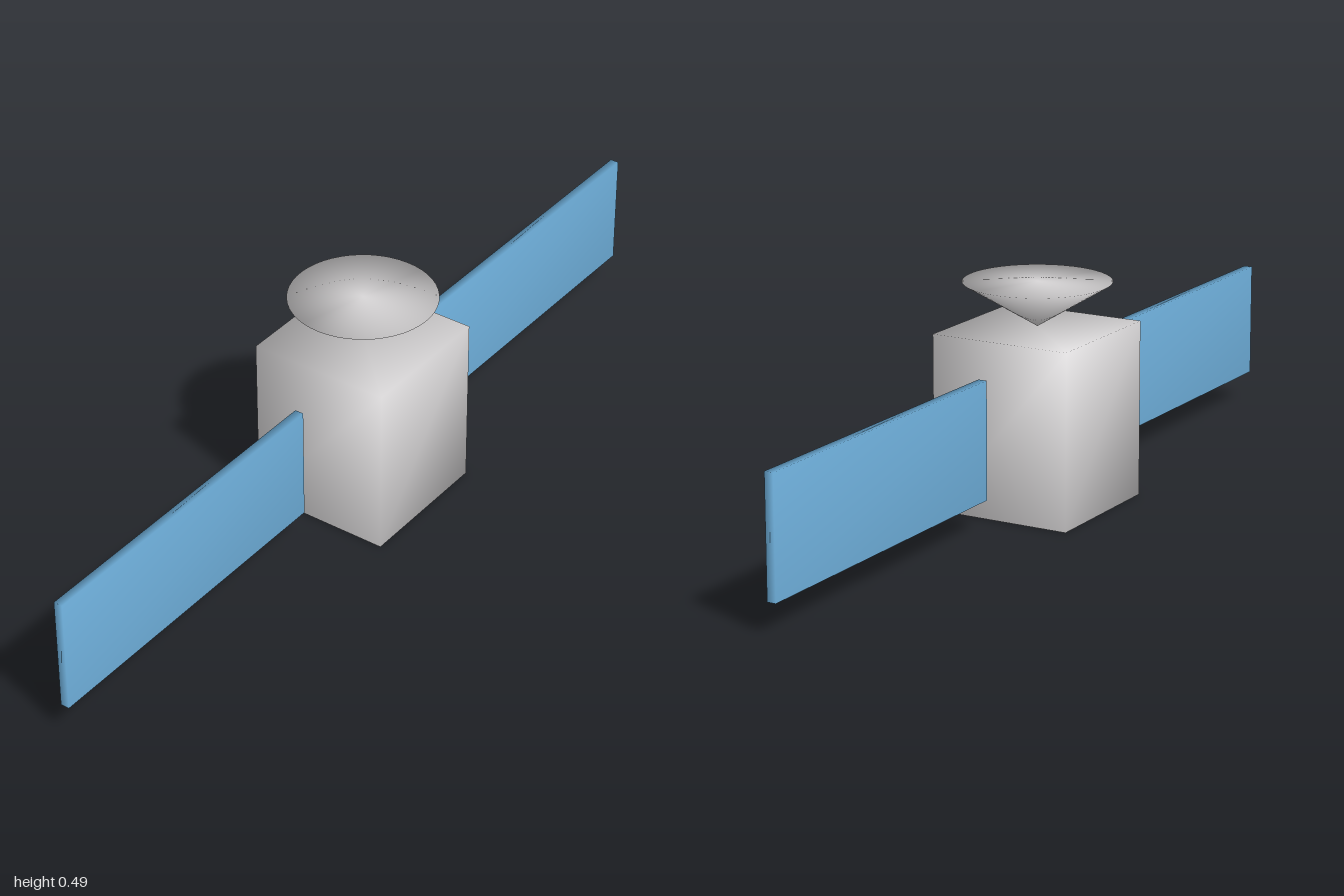
import * as THREE from 'three';
import { mergeVertices } from 'three/addons/utils/BufferGeometryUtils.js';

// Weld all corners so that shading runs smoothly over the edges
function weld(geometry) {
  geometry.deleteAttribute('normal');
  geometry.deleteAttribute('uv');
  const welded = mergeVertices(geometry, 1e-4);
  welded.computeVertexNormals();
  return welded;
}

export function createModel() {
  const group = new THREE.Group();
  const hullGrey = new THREE.MeshStandardMaterial({ color: 0xd9d7d8 });
  hullGrey.name = 'hullGrey';
  const panelBlue = new THREE.MeshStandardMaterial({ color: 0x6fb0dc });
  panelBlue.name = 'panelBlue';

  const add = (name, geometry, material, x, y) => {
    const mesh = new THREE.Mesh(weld(geometry), material);
    mesh.name = name;
    mesh.position.set(x, y, 0);
    group.add(mesh);
  };

  // Central body
  add('body', new THREE.BoxGeometry(0.322, 0.387, 0.322), hullGrey, 0, 0.1935);

  // Solar panels, floating clear of the body on both sides
  for (const [name, side] of [['leftPanel', 1], ['rightPanel', -1]]) {
    add(name, new THREE.BoxGeometry(0.774, 0.258, 0.02), panelBlue, side * 0.613, 0.194);
  }

  // Antenna dish: closed cone standing on its tip
  const dish = new THREE.ConeGeometry(0.16, 0.098, 48);
  dish.rotateX(Math.PI);
  add('dish', dish, hullGrey, 0, 0.439);

  return group;
}
